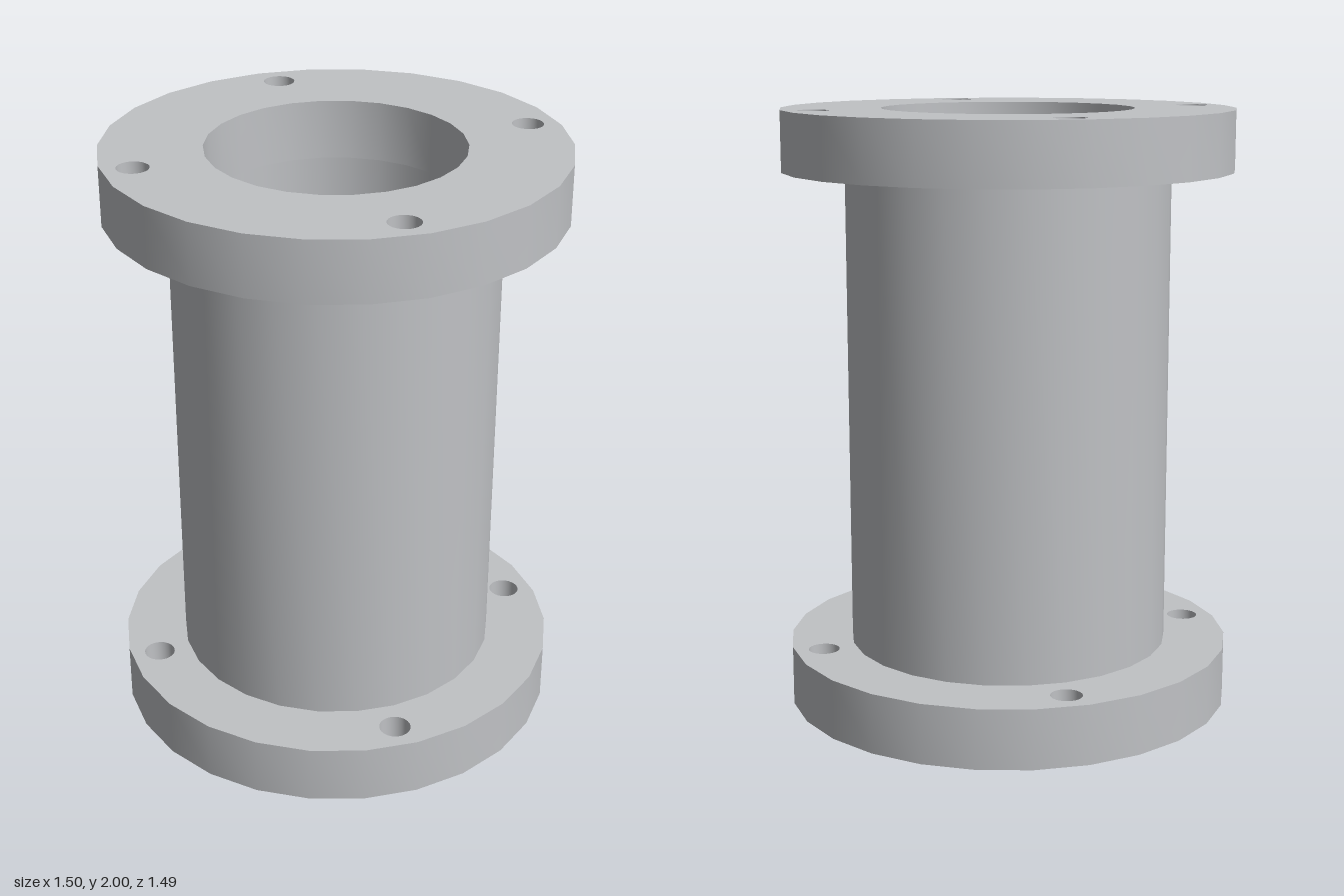
import * as THREE from 'three';
import { toCreasedNormals } from 'three/addons/utils/BufferGeometryUtils.js';

const SIDES = 26;
const BORE = 0.417;

// Points of a regular polygon, with the first vertex on +x
function circle(radius, sides, cx = 0, cy = 0) {
  return Array.from({ length: sides }, (_, i) => {
    const a = (i / sides) * Math.PI * 2;
    return new THREE.Vector2(cx + radius * Math.cos(a), cy + radius * Math.sin(a));
  });
}

// Upright bored disc, with optional round holes through it
function ring(name, radius, bottom, height, material, holes = []) {
  const shape = new THREE.Shape(circle(radius, SIDES));
  shape.holes.push(new THREE.Path(circle(BORE, SIDES).reverse()));
  for (const [x, y] of holes) {
    shape.holes.push(new THREE.Path(circle(0.052, 24, x, y).reverse()));
  }
  let geometry = new THREE.ExtrudeGeometry(shape, { depth: height, bevelEnabled: false });
  geometry.rotateX(-Math.PI / 2);
  geometry = toCreasedNormals(geometry, 0.6);
  const mesh = new THREE.Mesh(geometry, material);
  mesh.name = name;
  mesh.position.y = bottom;
  return mesh;
}

export function createModel() {
  const group = new THREE.Group();
  group.name = 'flangedPipe';
  const steel = new THREE.MeshStandardMaterial({ color: 0xc0c2c5 });
  steel.name = 'steel grey';

  // Four bolt holes on the diagonals
  const b = 0.458;
  const boltHoles = [[b, b], [-b, b], [-b, -b], [b, -b]];

  group.add(
    ring('bottomFlange', 0.748, 0, 0.2, steel, boltHoles),
    ring('pipe', 0.54, 0.2, 1.6, steel),
    ring('topFlange', 0.748, 1.8, 0.2, steel, boltHoles)
  );
  return group;
}
